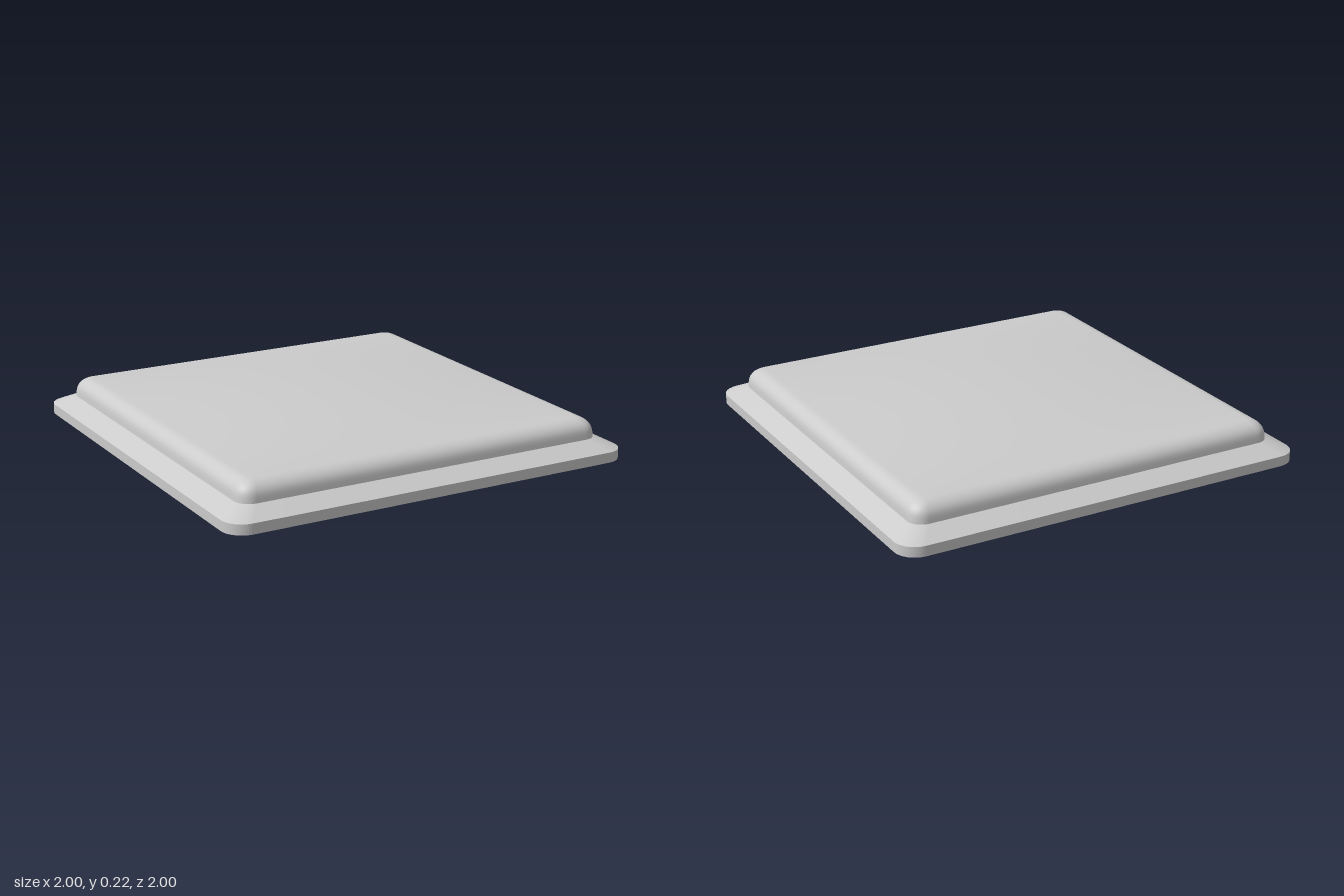
import * as THREE from 'three';

const ARC = 8, EDGE = 12;

// Rounded square outline, running from +x towards +z: half width h, corner radius r
function outline(h, r) {
  const pts = [];
  const c = h - r;
  for (let k = 0; k < 4; k++) {
    const turn = k * Math.PI / 2, cos = Math.cos(turn), sin = Math.sin(turn);
    const add = (x, z) => pts.push([x * cos - z * sin, x * sin + z * cos]);
    for (let i = 0; i < EDGE; i++) add(h, -c + (2 * c * i) / EDGE);
    for (let i = 0; i < ARC; i++) {
      const a = (i / ARC) * Math.PI / 2;
      add(c + r * Math.cos(a), c + r * Math.sin(a));
    }
  }
  return pts;
}

// Join rings of [x, y, z] points into an open skin
function loft(rings) {
  const n = rings[0].length, index = [];
  for (let i = 0; i < rings.length - 1; i++) {
    for (let j = 0; j < n; j++) {
      const a = i * n + j, b = i * n + (j + 1) % n;
      index.push(a, a + n, b, b, a + n, b + n);
    }
  }
  const geo = new THREE.BufferGeometry();
  geo.setAttribute('position', new THREE.Float32BufferAttribute(rings.flat(2), 3));
  geo.setIndex(index);
  geo.computeVertexNormals();
  return geo;
}

const ring = (h, r, y) => outline(h, r).map(([x, z]) => [x, y, z]);

export function createModel() {
  const group = new THREE.Group();
  const material = new THREE.MeshStandardMaterial({ color: 0xcccccc, side: THREE.DoubleSide });
  const add = (name, rings) => {
    const mesh = new THREE.Mesh(loft(rings), material);
    mesh.name = name;
    group.add(mesh);
  };

  // Vertical rim and the sloping flange above it, open underneath
  add('rim', [ring(1, 0.1, 0), ring(1, 0.1, 0.048)]);
  add('flange', [ring(1, 0.1, 0.048), ring(0.908, 0.07, 0.093)]);

  // Raised panel: near-upright wall, rounded shoulder, gently domed top
  const top = 0.182, inner = 0.83, rise = 0.037;
  const panel = [ring(0.908, 0.07, 0.093), ring(0.906, 0.07, 0.115)];
  for (let i = 1; i <= 8; i++) {
    const a = (i / 8) * Math.PI / 2;
    panel.push(ring(inner + 0.075 * Math.cos(a), 0.025 + 0.045 * Math.cos(a), 0.117 + 0.065 * Math.sin(a)));
  }
  const edge = outline(inner, 0.025);
  for (let i = 1; i <= 14; i++) {
    const s = 1 - i / 14;
    panel.push(edge.map(([x, z]) => {
      const u = (x * s) / inner, v = (z * s) / inner;
      return [x * s, top + rise * (1 - u * u) * (1 - v * v), z * s];
    }));
  }
  add('domedPanel', panel);
  return group;
}
